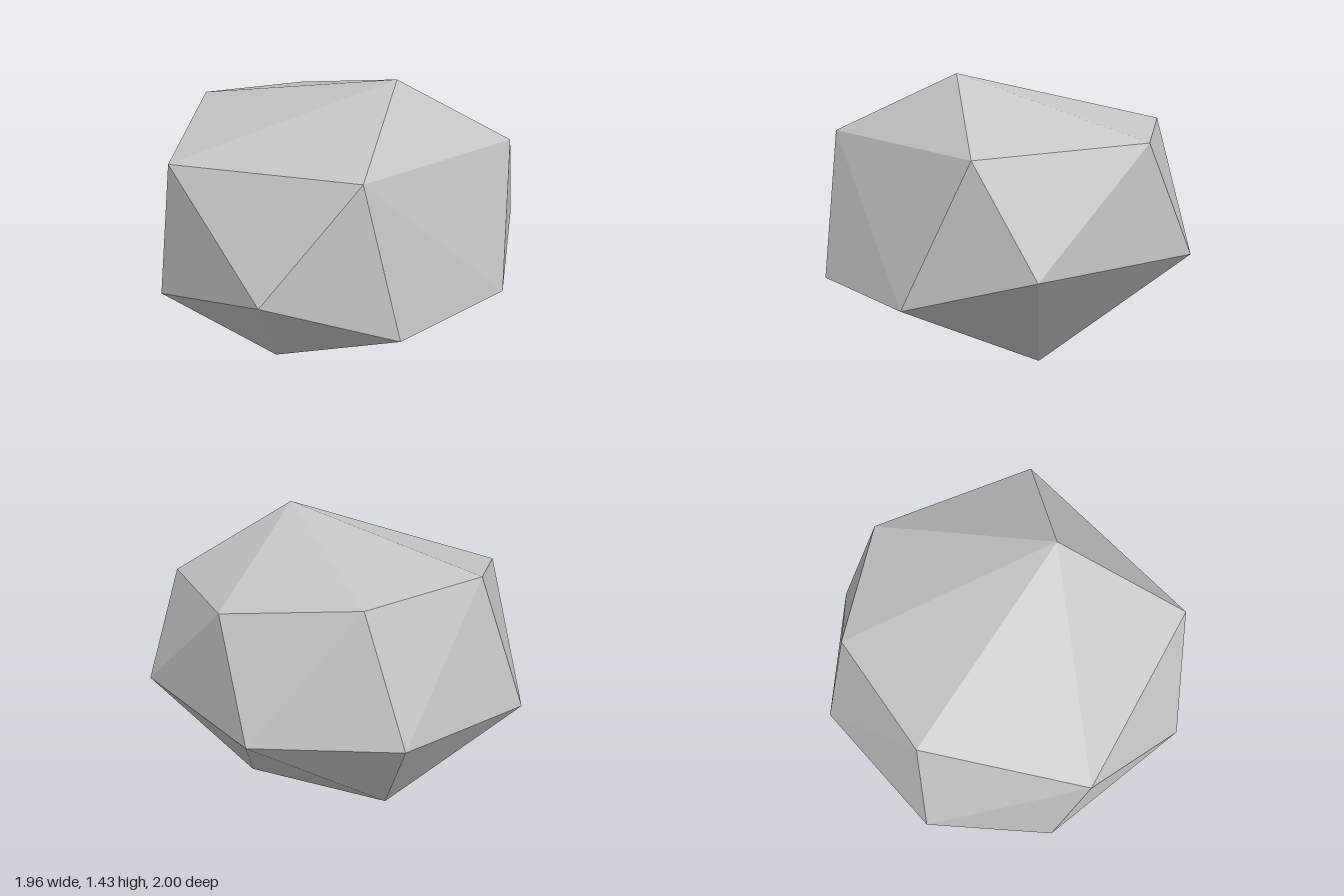
import * as THREE from 'three';
import { ConvexGeometry } from 'three/addons/geometries/ConvexGeometry.js';

// Corners of the faceted boulder, ring by ring from the top down
const crown = [
  [0.4, 1.43, 0.02], [-0.79, 1.22, 0.06], [-0.57, 1.175, -0.59],
  [0.05, 1.11, -0.89], [0.84, 1.07, -0.44], [0.6, 1.12, 0.7], [-0.42, 1.07, 0.82],
];
const girdle = [
  [-0.98, 0.535, 0.2], [-0.82, 0.55, -0.6], [-0.2, 0.535, -1], [0.76, 0.545, -0.75],
  [0.975, 0.355, -0.12], [0.77, 0.355, 0.63], [0.23, 0.54, 1], [-0.59, 0.3, 0.75],
];
const base = [[-0.56, 0.1, -0.39], [0.06, 0.07, 0.63], [0.32, 0, -0.44]];

export function createModel() {
  const stone = new THREE.MeshStandardMaterial({ color: 0xc4c4c4, flatShading: true });
  stone.name = 'grey stone';

  // The stone is the convex hull of its corners
  const corners = [...crown, ...girdle, ...base].map((p) => new THREE.Vector3(...p));
  const boulder = new THREE.Mesh(new ConvexGeometry(corners), stone);
  boulder.name = 'boulder';

  const model = new THREE.Group();
  model.name = 'rock';
  model.add(boulder);
  return model;
}
